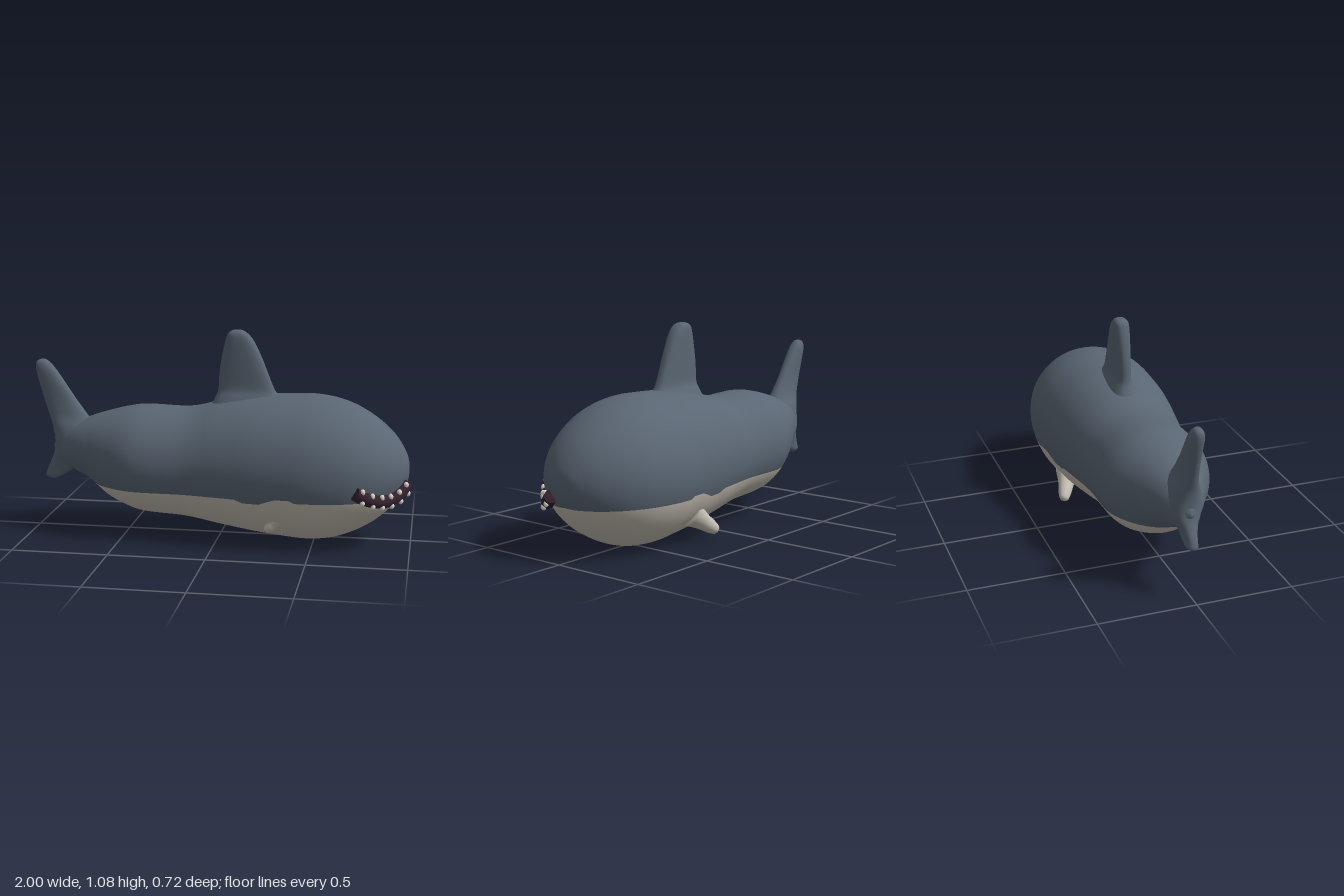
import * as THREE from 'three';

const paint = (name, color) => Object.assign(new THREE.MeshStandardMaterial({ color }), { name });

// Smoothly resample a table of stations (every column by Catmull-Rom)
function resample(rows, steps) {
  const out = [];
  const cr = (a, b, c, d, t) => {
    const m0 = (c - a) / 2, m1 = (d - b) / 2;
    return (2 * b - 2 * c + m0 + m1) * t ** 3 + (-3 * b + 3 * c - 2 * m0 - m1) * t * t + m0 * t + b;
  };
  const at = i => rows[Math.min(Math.max(i, 0), rows.length - 1)];
  for (let i = 0; i < rows.length - 1; i++)
    for (let s = 0; s < steps; s++)
      out.push(rows[i].map((_, k) => cr(at(i - 1)[k], at(i)[k], at(i + 1)[k], at(i + 2)[k], s / steps)));
  out.push(rows[rows.length - 1]);
  return out;
}

// Skin closed rings of points; columns from `split` on use the second material
function skin(rings, split) {
  const n = rings[0].length, index = [];
  const strip = (j0, j1) => {
    for (let i = 0; i < rings.length - 1; i++)
      for (let j = j0; j < j1; j++) {
        const k = (j + 1) % n, a = i * n, b = a + n;
        index.push(a + j, b + j, b + k, a + j, b + k, a + k);
      }
  };
  const geo = new THREE.BufferGeometry();
  strip(0, split ?? n);
  if (split) {
    const first = index.length;
    strip(split, n);
    geo.addGroup(0, first, 0);
    geo.addGroup(first, index.length - first, 1);
  }
  geo.setAttribute('position', new THREE.Float32BufferAttribute(rings.flat(2), 3));
  geo.setIndex(index);
  geo.computeVertexNormals();
  return geo;
}

// Fin from stacked sections [y, rear x, front x, half thickness]; power < 1 squares the section
function fin(sections, power = 1) {
  const rows = resample(sections, 4);
  const close = r => [r[0], (r[1] + r[2]) / 2, (r[1] + r[2]) / 2, 0];
  const soft = v => Math.sign(v) * Math.abs(v) ** power;
  return skin([close(rows[0]), ...rows, close(rows[rows.length - 1])].map(([y, x0, x1, t]) =>
    Array.from({ length: 28 }, (_, j) => {
      const f = j / 28 * Math.PI * 2;
      return [(x0 + x1) / 2 + (x1 - x0) / 2 * soft(Math.cos(f)), y, t * soft(Math.sin(f))];
    })));
}

export function createModel() {
  const group = new THREE.Group();
  const grey = paint('slate back', 0x5a6673), pale = paint('pale belly', 0xc4beb3);
  const dark = paint('dark mouth', 0x35222f), ivory = paint('ivory teeth', 0xdedacf);
  const add = (name, geo, mat, parent = group) => {
    const mesh = new THREE.Mesh(geo, mat);
    mesh.name = name;
    parent.add(mesh);
    return mesh;
  };

  // Body stations: x, top, bottom, half width
  const stations = [
    [-0.91, 0.44, 0.43, 0.005], [-0.88, 0.50, 0.36, 0.05], [-0.8, 0.565, 0.32, 0.11],
    [-0.7, 0.61, 0.27, 0.165], [-0.6, 0.642, 0.19, 0.22], [-0.5, 0.667, 0.14, 0.265],
    [-0.4, 0.68, 0.11, 0.285], [-0.2, 0.675, 0.095, 0.285], [-0.1, 0.688, 0.08, 0.295],
    [0, 0.715, 0.06, 0.312], [0.2, 0.75, 0.027, 0.343], [0.4, 0.76, 0.004, 0.36],
    [0.5, 0.76, 0.002, 0.361], [0.6, 0.745, 0.015, 0.35], [0.7, 0.712, 0.05, 0.325],
    [0.8, 0.655, 0.105, 0.278], [0.88, 0.591, 0.17, 0.215], [0.93, 0.533, 0.23, 0.157],
    [0.965, 0.473, 0.292, 0.095], [0.98, 0.43, 0.335, 0.05], [0.985, 0.383, 0.381, 0.001],
  ];
  // Height of the slightly ragged line between back and belly
  const line = x => 0.265 - (x > 0.15 && x < 0.25 ? 0.018 : 0) + (x > 0.31 && x < 0.42 ? 0.014 : 0);
  const upper = 36, lower = 24;
  const rings = resample(stations, 5).map(([x, top, bottom, w]) => {
    const cy = (top + bottom) / 2, ry = (top - bottom) / 2;
    const s = Math.asin(THREE.MathUtils.clamp((line(x) - cy) / ry, -1, 1));
    return Array.from({ length: upper + lower }, (_, j) => {
      const a = j < upper ? s + (Math.PI - 2 * s) * j / upper
        : Math.PI - s + (Math.PI + 2 * s) * (j - upper) / lower;
      return [x, cy + ry * Math.sin(a), w * Math.cos(a)];
    });
  });
  add('body', skin(rings, upper), [grey, pale]);

  // Fins on the back and tail
  add('dorsalFin', fin([
    [0.66, -0.07, 0.36, 0.1], [0.735, -0.03, 0.31, 0.065], [0.78, -0.015, 0.28, 0.045],
    [0.86, -0.01, 0.247, 0.043], [0.95, 0.004, 0.21, 0.043], [1.03, 0.022, 0.17, 0.042],
    [1.07, 0.037, 0.135, 0.036], [1.085, 0.06, 0.11, 0.02],
  ], 0.75), grey);
  add('tailFin', fin([
    [0.262, -0.94, -0.9, 0.015], [0.278, -0.957, -0.865, 0.03], [0.32, -0.945, -0.8, 0.036],
    [0.37, -0.922, -0.74, 0.052], [0.42, -0.904, -0.7, 0.08], [0.48, -0.9, -0.68, 0.085],
    [0.55, -0.91, -0.68, 0.072], [0.61, -0.93, -0.72, 0.048], [0.7, -0.958, -0.785, 0.036],
    [0.8, -0.985, -0.852, 0.035], [0.86, -0.998, -0.895, 0.034], [0.893, -0.995, -0.925, 0.025],
    [0.907, -0.975, -0.945, 0.012],
  ], 0.85), grey);

  // Small side fins, swept back and down; the far one stands out more
  const sideFin = (name, root, tip, size) => {
    const from = new THREE.Vector3(...root), dir = new THREE.Vector3(...tip).sub(from);
    const l = dir.length();
    const mesh = add(name, fin([
      [0, -size * 1.7, size * 1.7, size * 1.5], [l * 0.4, -size * 1.15, size * 1.15, size],
      [l * 0.75, -size * 0.85, size * 0.85, size * 0.8], [l * 0.94, -size * 0.6, size * 0.6, size * 0.55],
      [l, -size * 0.2, size * 0.2, size * 0.2],
    ]), pale);
    mesh.position.copy(from);
    mesh.quaternion.setFromUnitVectors(new THREE.Vector3(0, 1, 0), dir.normalize());
  };
  sideFin('backSideFin', [0.30, 0.155, -0.235], [0.165, 0.05, -0.3], 0.042);
  sideFin('frontSideFin', [0.34, 0.16, 0.235], [0.27, 0.085, 0.245], 0.03);

  // Curved mouth wrapped round one side of the snout
  const mouth = new THREE.Group();
  mouth.name = 'mouth';
  group.add(mouth);
  const path = new THREE.CatmullRomCurve3([
    [0.725, 0.322, 0.318], [0.795, 0.28, 0.272], [0.87, 0.26, 0.2], [0.93, 0.277, 0.135], [0.972, 0.32, 0.072],
  ].map(p => new THREE.Vector3(...p)));
  add('lips', new THREE.TubeGeometry(path, 40, 0.034, 16), dark, mouth);
  for (const [t, turn] of [[0, -1], [1, 1]]) {
    const cap = add('lipEnd', new THREE.CircleGeometry(0.034, 16), dark, mouth);
    cap.position.copy(path.getPointAt(t));
    cap.lookAt(cap.position.clone().addScaledVector(path.getTangentAt(t), turn));
  }

  // Two rows of blunt teeth
  const tooth = new THREE.SphereGeometry(0.013, 12, 8);
  for (const side of [1, -1])
    for (let i = 0; i < 6; i++) {
      const t = side > 0 ? 0.06 + i * 0.175 : 0.13 + i * 0.155;
      const p = path.getPointAt(t), tan = path.getTangentAt(t);
      const out = new THREE.Vector3(-tan.z, 0, tan.x).normalize();
      const up = new THREE.Vector3().crossVectors(out, tan).normalize();
      if (up.y < 0) up.negate();
      const m = add('tooth', tooth, ivory, mouth);
      m.position.copy(p).addScaledVector(up, side * 0.025).addScaledVector(out, 0.022);
      m.scale.set(1, 1.25, 1);
    }
  return group;
}
